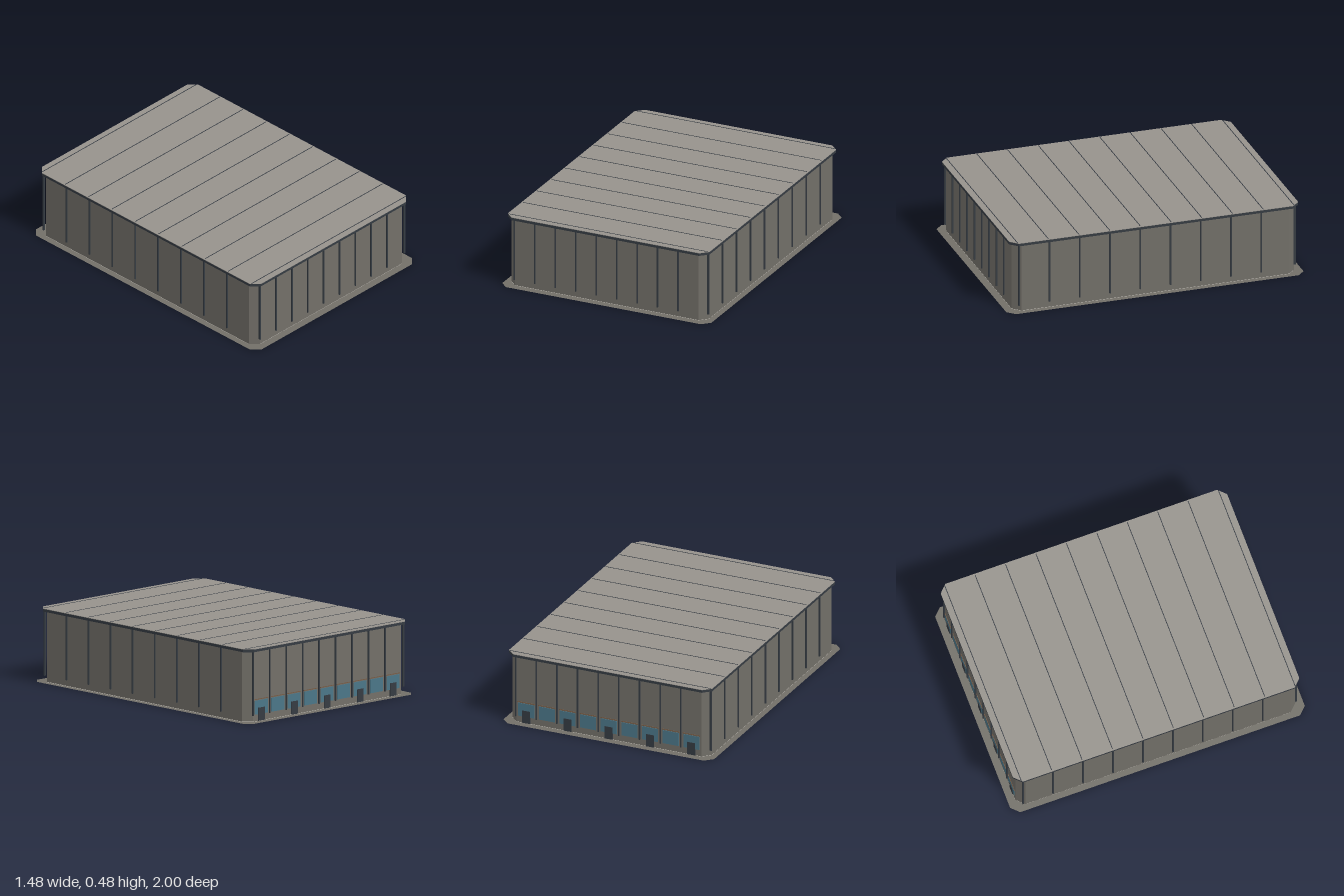
import * as THREE from 'three';

const mat = (name, color, side = THREE.FrontSide) => {
  const m = new THREE.MeshStandardMaterial({ color, side });
  m.name = name;
  return m;
};

// Rectangle with cut corners, half sizes w and d
function outline(w, d, c, Type = THREE.Shape) {
  return new Type([
    [w, c - d], [w, d - c], [w - c, d], [c - w, d],
    [-w, d - c], [-w, c - d], [c - w, -d], [w - c, -d],
  ].map(([x, y]) => new THREE.Vector2(x, y)));
}

export function createModel() {
  const group = new THREE.Group();
  const wallMat = mat('wall grey', 0x726f68);
  const pavingMat = mat('paving grey', 0x726f68, THREE.DoubleSide);
  const roofMat = mat('roof grey', 0x96928c);
  const trimMat = mat('dark trim', 0x353b42);
  const floorMat = mat('floor brown', 0x846848, THREE.DoubleSide);
  const footingMat = mat('footing light grey', 0xb4b1aa, THREE.DoubleSide);
  const glassMat = mat('window blue', 0x4a7688);
  const lintelMat = mat('lintel brown', 0x75573f);

  const add = (name, geo, material, parent = group) => {
    const mesh = new THREE.Mesh(geo, material);
    mesh.name = name;
    parent.add(mesh);
    return mesh;
  };
  const box = (name, w, h, d, x, y, z, material, parent) =>
    add(name, new THREE.BoxGeometry(w, h, d), material, parent).position.set(x, y, z);
  // Solid prism between two heights
  const prism = (name, w, d, c, y0, y1, material) => {
    const geo = new THREE.ExtrudeGeometry(outline(w, d, c), { depth: y1 - y0, bevelEnabled: false });
    add(name, geo.rotateX(-Math.PI / 2).translate(0, y0, 0), material);
  };
  // Flat sheet on the ground, optionally with a hole
  const sheet = (name, [w, d, c], hole, material) => {
    const shape = outline(w, d, c);
    if (hole) shape.holes.push(outline(...hole, THREE.Path));
    add(name, new THREE.ShapeGeometry(shape).rotateX(-Math.PI / 2), material);
  };

  // Ground: paving, footing ring and floor
  const wallLine = [0.7, 0.95, 0.05], floorLine = [0.672, 0.922, 0.04];
  sheet('paving', [0.74, 1, 0.05], wallLine, pavingMat);
  sheet('footing', wallLine, floorLine, footingMat);
  sheet('floor', floorLine, null, floorMat);

  // Walls and roof
  prism('walls', ...wallLine, 0.002, 0.457, wallMat);
  prism('roofTrim', 0.714, 0.972, 0.05, 0.457, 0.474, trimMat);
  prism('roof', 0.714, 0.972, 0.05, 0.474, 0.477, roofMat);
  for (let i = 0; i < 10; i++) {
    box('roofSeam', 1.41, 0.002, 0.005, 0, 0.4775, -0.93 + i * 0.2065, trimMat);
  }

  // Pillars run round the walls, nine on each side
  const sides = [
    { half: 0.65, out: 0.95, step: 0.145 },
    { half: 0.915, out: 0.7, step: 0.2035 },
  ];
  for (let s = 0; s < 4; s++) {
    const { half, out, step } = sides[s % 2];
    const side = new THREE.Group();
    side.name = 'pillarRow';
    side.rotation.y = s * Math.PI / 2;
    group.add(side);
    for (let i = 0; i < 9; i++) {
      box('pillar', 0.008, 0.417, 0.014, -half - 0.003 + i * step, 0.2485, out + 0.002, trimMat, side);
    }
  }

  // Back windows in every bay, doors in every second bay
  for (let i = 0; i < 9; i++) {
    const x = 0.58 - i * 0.145;
    box('window', 0.112, 0.09, 0.004, x, 0.09, -0.951, glassMat);
    box('lintel', 0.12, 0.004, 0.005, x, 0.143, -0.951, lintelMat);
    if (i % 2 === 0) box('door', 0.056, 0.085, 0.006, x, 0.0445, -0.952, trimMat);
  }
  return group;
}
